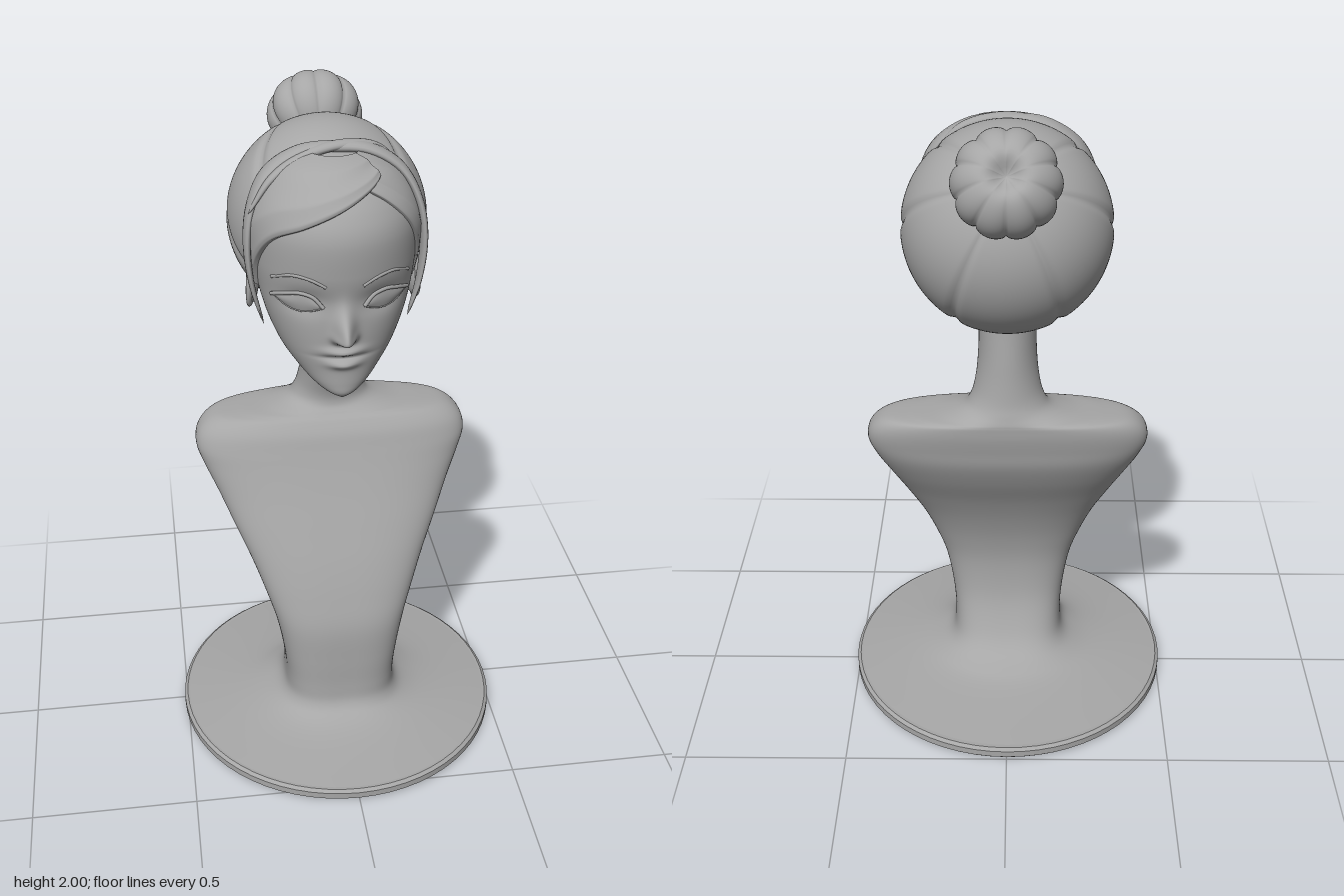
import * as THREE from 'three';

const clay = new THREE.MeshStandardMaterial({ color: 0xa6a6a6, side: THREE.DoubleSide });
clay.name = 'grey clay';
const TAU = Math.PI * 2;
const bell = (d, s) => Math.exp(-(d * d) / (s * s));

// Smooth surface from a function of u, v in 0..1; wrap closes it in u
function grid(nu, nv, fn, wrap = false) {
  const pos = [], idx = [], cols = wrap ? nu : nu + 1;
  for (let j = 0; j <= nv; j++)
    for (let i = 0; i < cols; i++) pos.push(...fn(i / nu, j / nv));
  for (let j = 0; j < nv; j++)
    for (let i = 0; i < nu; i++) {
      const k = (i + 1) % cols, a = j * cols, b = a + cols;
      idx.push(a + i, a + k, b + k, a + i, b + k, b + i);
    }
  const g = new THREE.BufferGeometry();
  g.setAttribute('position', new THREE.Float32BufferAttribute(pos, 3));
  g.setIndex(idx);
  g.computeVertexNormals();
  return g;
}

// Spline through table rows, t in 0..1
function sample(rows, t) {
  const f = Math.min(Math.max(t, 0), 1) * (rows.length - 1);
  const i = Math.min(Math.floor(f), rows.length - 2), s = f - i;
  const at = k => rows[Math.min(Math.max(k, 0), rows.length - 1)];
  return rows[0].map((_, c) => {
    const [p, q, r, w] = [at(i - 1)[c], at(i)[c], at(i + 1)[c], at(i + 2)[c]];
    return q + 0.5 * s * (r - p + s * (2 * p - 5 * q + 4 * r - w + s * (3 * (q - r) + w - p)));
  });
}
function rowAtHeight(rows, y) {
  let lo = 0, hi = 1;
  for (let k = 0; k < 24; k++) {
    const m = (lo + hi) / 2;
    if (sample(rows, m)[0] < y) lo = m; else hi = m;
  }
  return sample(rows, lo);
}

// Flared foot, torso, shoulders and neck: y, half width, front z, back z, squareness
const BODY = [
  [0.035, 0.5, 0.55, -0.485, 2], [0.06, 0.33, 0.37, -0.25, 2], [0.085, 0.235, 0.285, -0.165, 2.3],
  [0.12, 0.186, 0.248, -0.11, 2.8], [0.18, 0.175, 0.24, -0.07, 3], [0.28, 0.183, 0.24, -0.035, 3],
  [0.4, 0.205, 0.236, -0.027, 2.9], [0.5, 0.237, 0.21, -0.042, 2.8], [0.6, 0.275, 0.175, -0.075, 2.7],
  [0.7, 0.32, 0.133, -0.122, 2.7], [0.8, 0.365, 0.09, -0.18, 2.7], [0.88, 0.403, 0.058, -0.218, 2.7],
  [0.94, 0.424, 0.036, -0.232, 2.7], [0.99, 0.412, 0.018, -0.242, 2.7], [1.025, 0.368, -0.005, -0.245, 2.7],
  [1.037, 0.29, -0.018, -0.245, 2.6], [1.045, 0.2, -0.026, -0.244, 2.4], [1.065, 0.135, -0.04, -0.238, 2.1],
  [1.1, 0.108, -0.04, -0.228, 2], [1.16, 0.093, -0.02, -0.22, 2], [1.24, 0.086, 0.01, -0.213, 2],
  [1.33, 0.085, 0.02, -0.205, 2], [1.43, 0.085, 0.02, -0.2, 2]];
function bodyPoint(u, v) {
  const [y, w, f, b, n] = sample(BODY, v), s = Math.sin(u * TAU), c = Math.cos(u * TAU);
  const pw = k => Math.sign(k) * Math.abs(k) ** (2 / n);
  return [w * pw(s), y, (f + b) / 2 + (f - b) / 2 * pw(c)];
}

// Head: y, half width, front z, widest z, back z
const HEAD = [
  [1.205, 0.01, 0.168, 0.15, 0.135], [1.222, 0.048, 0.184, 0.13, 0.09], [1.25, 0.087, 0.188, 0.1, 0.03],
  [1.29, 0.126, 0.19, 0.06, -0.03], [1.34, 0.163, 0.194, 0.03, -0.1], [1.4, 0.192, 0.198, 0.01, -0.14],
  [1.46, 0.212, 0.2, 0, -0.17], [1.52, 0.226, 0.203, -0.01, -0.2], [1.6, 0.237, 0.217, -0.02, -0.2],
  [1.7, 0.236, 0.222, -0.02, -0.2], [1.77, 0.214, 0.198, -0.02, -0.2], [1.83, 0.17, 0.15, -0.03, -0.18],
  [1.868, 0.115, 0.092, -0.03, -0.14], [1.886, 0.06, 0.035, -0.03, -0.1], [1.892, 0.005, -0.025, -0.03, -0.035]];
// Nose, lips and eye sockets pushed out of or into the face
function sculpt(x, y) {
  const nose = 0.076 * bell(y - 1.42, y < 1.42 ? 0.02 : 0.062) * bell(x, 0.026)
    + 0.012 * bell(Math.abs(x) - 0.024, 0.014) * bell(y - 1.415, 0.016);
  const lips = 0.02 * bell(y - 1.366, 0.013) * bell(x, 0.05) + 0.02 * bell(y - 1.325, 0.014) * bell(x, 0.042)
    - 0.008 * bell(y - 1.346, 0.006) * bell(x, 0.065);
  return nose + lips - 0.016 * bell(Math.abs(x) - 0.11, 0.06) * bell(y - 1.515, 0.04);
}
function headPoint(angle, y, lift = 0) {
  const [, w, f, m, b] = rowAtHeight(HEAD, y), s = Math.sin(angle), c = Math.cos(angle);
  const x = w * s, up = lift * Math.max(0, (y - 1.7) * 4);
  return [x + lift * s, y + up, m + (c > 0 ? f - m : m - b) * c + lift * c + (c > 0 ? sculpt(x, y) : 0)];
}
function facePoint(x, y, lift = 0) {
  const [, w, f, m] = rowAtHeight(HEAD, y);
  return new THREE.Vector3(x, y, m + (f - m) * Math.sqrt(Math.max(0, 1 - (x / w) ** 2)) + sculpt(x, y) + lift);
}
const faceLine = (pts, r, lift = 0) => new THREE.TubeGeometry(
  new THREE.CatmullRomCurve3(pts.map(([x, y]) => facePoint(x, y, lift))), 24, r, 6);

// Flat strand with tapered ends, its width lying along z
function strand(points, halfWidth, thick) {
  const curve = new THREE.CatmullRomCurve3(points.map(p => new THREE.Vector3(...p)));
  return grid(16, 60, (u, v) => {
    const p = curve.getPoint(v), t = curve.getTangent(v);
    const side = new THREE.Vector3(0, 0, 1).addScaledVector(t, -t.z).normalize();
    const out = new THREE.Vector3().crossVectors(side, t), a = u * TAU;
    const k = Math.sqrt(Math.max(0, Math.sin(v * Math.PI)));
    return p.addScaledVector(side, Math.cos(a) * halfWidth(v) * k)
      .addScaledVector(out, Math.sin(a) * thick * k).toArray();
  }, true);
}

// Raised hair sheet over the forehead: edge rows are angle, lower y
function fringe(edge, lift) {
  return grid(50, 36, (u, v) => {
    const [a, low] = sample(edge, u), y = low + (1.885 - low) * v;
    const groove = 0.004 * Math.abs(Math.sin(v * 7 + u));
    return headPoint(a, y, v === 0 ? -0.01 : lift * Math.min(1, 0.5 + v * 5) - groove);
  });
}

export function createModel() {
  const model = new THREE.Group();
  const add = (name, geometry, parent = model) => {
    const m = new THREE.Mesh(geometry, clay);
    m.name = name;
    parent.add(m);
    return m;
  };

  // Stand and body
  const rim = [[0, 0], [0.502, 0], [0.51, 0.008], [0.51, 0.028], [0.5, 0.036], [0, 0.036]];
  for (let i = 0; i < rim.length - 1; i++) {
    const part = add('standDisc', new THREE.LatheGeometry(
      [rim[i], rim[i + 1]].map(p => new THREE.Vector2(...p)), 64));
    part.scale.z = 1.04;
    part.position.z = 0.032;
  }
  add('torsoAndNeck', grid(80, 132, bodyPoint, true));

  // Head
  add('head', grid(150, 140, (u, v) => {
    const a = (u - 0.5) * TAU;
    return headPoint(a - 0.5 * Math.sin(a), 1.205 + 0.687 * v);
  }, true));

  // Gathered hair with grooves running to the bun
  const seams = [44, 90, 150].flatMap(d => [d, 360 - d]).map(d => d / 360);
  const hair = add('gatheredHair', grid(180, 60, (u, v) => {
    const p = (v - 0.5) * Math.PI, c = Math.cos(p);
    const r = 0.297 - 0.009 * seams.reduce((s, d) => s + bell(u - d, 0.008), 0) * c;
    return [r * c * Math.sin(u * TAU), r * Math.sin(p), r * c * Math.cos(u * TAU)];
  }, true));
  hair.position.set(0, 1.64, -0.172);
  hair.rotation.x = -0.87;

  // Lobed bun, pinched at its centre
  const bun = add('bun', grid(120, 40, (u, v) => {
    const p = (v - 0.5) * Math.PI, c = Math.cos(p);
    const r = 0.146 * c * (0.91 + 0.09 * Math.abs(Math.sin(u * TAU * 5)) ** 0.6);
    const y = 0.122 * Math.sin(p) - (p > 0 ? 0.045 * bell(c, 0.28) : 0);
    return [r * Math.sin(u * TAU), y, r * Math.cos(u * TAU)];
  }, true));
  bun.position.set(0, 1.862, -0.435);
  bun.rotation.x = -1.0;

  // Swept fringe and the smaller lock on the other side
  add('sweptFringe', fringe([[-1.5, 1.5], [-1.2, 1.61], [-0.9, 1.69], [-0.5, 1.735], [-0.1, 1.775], [0.3, 1.81], [0.75, 1.84]], 0.02));
  add('sideFringe', fringe([[0.3, 1.835], [0.65, 1.79], [0.95, 1.72], [1.2, 1.63], [1.5, 1.5]], 0.014));

  // Twisted band over the crown, with tapering ends before the ears
  const half = [[0.1, 1.89, -0.02], [0.19, 1.835, -0.015], [0.238, 1.75, 0.01], [0.255, 1.64, 0.03],
    [0.243, 1.51, 0.035], [0.212, 1.39, 0.03]];
  const mirror = half.map(([x, y, z]) => [-x, y, z]).reverse();
  add('hairBand', strand([...mirror, [0, 1.9, -0.02], ...half], v => 0.024 + 0.024 * Math.min(1, Math.abs(v - 0.5) * 5), 0.016));
  add('crossingLock', strand([[-0.25, 1.74, 0.05], [-0.18, 1.835, 0.035], [-0.08, 1.888, 0.005], [0.03, 1.905, -0.02],
    [0.13, 1.885, -0.045], [0.21, 1.81, -0.05]], () => 0.022, 0.014));

  // Paired features
  for (const s of [1, -1]) {
    const side = s > 0 ? 'left' : 'right';
    const top = [[0.058, 1.503], [0.085, 1.533], [0.12, 1.544], [0.16, 1.535], [0.196, 1.517]].map(([x, y]) => [x * s, y]);
    const low = [[0.058, 1.503], [0.085, 1.492], [0.12, 1.486], [0.155, 1.494], [0.19, 1.517]].map(([x, y]) => [x * s, y]);
    add(side + 'Eye', grid(24, 12, (u, v) => {
      const a = sample(low, u), b = sample(top, u);
      const bulge = 0.003 + 0.012 * Math.sin(u * Math.PI) * Math.sin(v * Math.PI);
      return facePoint(a[0] + (b[0] - a[0]) * v, a[1] + (b[1] - a[1]) * v, bulge).toArray();
    }));
    add(side + 'UpperLid', faceLine(top, 0.006, 0.004));
    add(side + 'LowerLid', faceLine(low, 0.003, 0.002));
    add(side + 'Eyebrow', faceLine([[0.052 * s, 1.572], [0.09 * s, 1.592], [0.14 * s, 1.6], [0.195 * s, 1.575]], 0.005));

    const ear = new THREE.Group();
    ear.name = side + 'Ear';
    ear.position.set(0.232 * s, 1.505, -0.045);
    ear.rotation.set(-0.12, 0.25 * s, 0.08 * s);
    model.add(ear);
    add('earShell', new THREE.SphereGeometry(1, 24, 16), ear).scale.set(0.016, 0.075, 0.036);
    const edge = add('earRim', new THREE.TorusGeometry(0.036, 0.009, 8, 32), ear);
    edge.rotation.y = Math.PI / 2;
    edge.scale.y = 2;
    edge.position.x = 0.008 * s;
  }
  return model;
}
